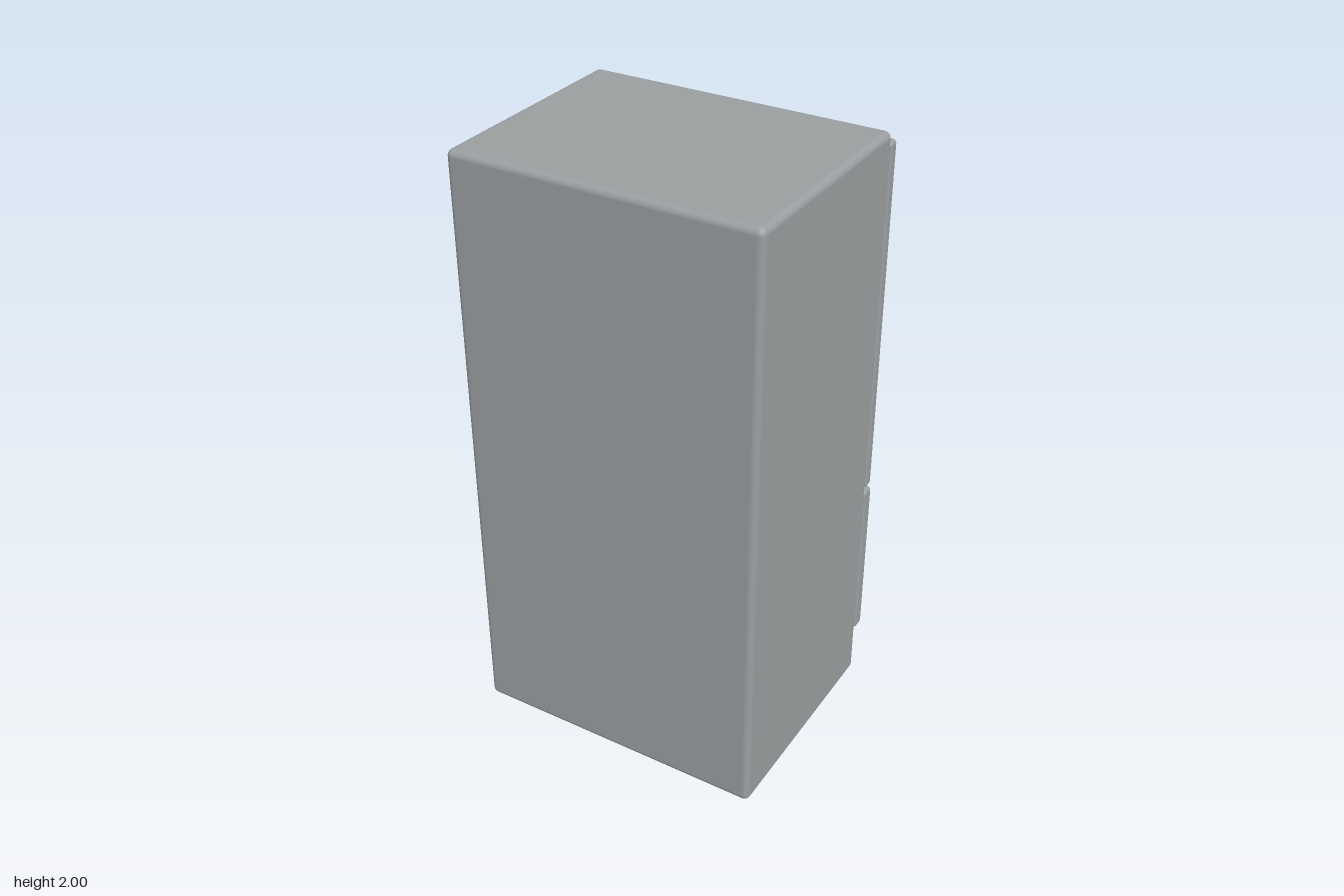
import * as THREE from 'three';
import { RoundedBoxGeometry } from 'three/addons/geometries/RoundedBoxGeometry.js';

export function createModel() {
  const group = new THREE.Group();
  const mat = (name, color) => {
    const m = new THREE.MeshStandardMaterial({ color });
    m.name = name;
    return m;
  };
  const steel = mat('steel', 0x9a9ea0);
  const brass = mat('brass', 0x9e8452);
  const black = mat('black', 0x1b1b1c);

  // Box from its extents; a radius rounds its edges
  const box = (name, material, [x0, x1], [y0, y1], [z0, z1], radius = 0) => {
    const size = [x1 - x0, y1 - y0, z1 - z0];
    const geometry = radius
      ? new RoundedBoxGeometry(...size, 4, radius)
      : new THREE.BoxGeometry(...size);
    const mesh = new THREE.Mesh(geometry, material);
    mesh.name = name;
    mesh.position.set((x0 + x1) / 2, (y0 + y1) / 2, (z0 + z1) / 2);
    group.add(mesh);
    return mesh;
  };

  // Cabinet; the doors are on its -z side
  box('cabinet', steel, [-0.503, 0.503], [0, 2], [-0.313, 0.453], 0.022);

  // Two upper doors and the freezer drawer
  box('rightDoor', steel, [-0.5, -0.007], [0.75, 1.957], [-0.364, -0.321], 0.014);
  box('leftDoor', steel, [0.004, 0.497], [0.75, 1.957], [-0.364, -0.321], 0.014);
  box('freezerDrawer', steel, [-0.5, 0.497], [0.156, 0.734], [-0.373, -0.321], 0.014);

  // Vertical door handles
  box('rightDoorHandle', brass, [-0.055, -0.035], [1.0, 1.67], [-0.412, -0.36], 0.003);
  box('leftDoorHandle', brass, [0.032, 0.052], [1.0, 1.67], [-0.412, -0.36], 0.003);

  // Horizontal drawer handle
  box('drawerHandle', steel, [-0.353, 0.353], [0.633, 0.656], [-0.427, -0.365], 0.004);

  // Water dispenser: recess panel, tray and two buttons
  box('dispenserPanel', black, [-0.38, -0.14], [1.15, 1.468], [-0.396, -0.35], 0.01);
  box('dispenserTray', steel, [-0.357, -0.163], [1.155, 1.2], [-0.457, -0.38], 0.006);
  for (const x of [-0.318, -0.283]) {
    box('dispenserButton', steel, [x - 0.007, x + 0.007], [1.502, 1.518], [-0.374, -0.36]);
  }

  // Row of vent slats below the drawer
  const slats = 24;
  for (let i = 0; i < slats; i++) {
    const x = -0.45 + (0.9 * i) / (slats - 1);
    box('ventSlat', black, [x - 0.013, x + 0.013], [0.079, 0.085], [-0.352, -0.332]);
  }

  return group;
}
